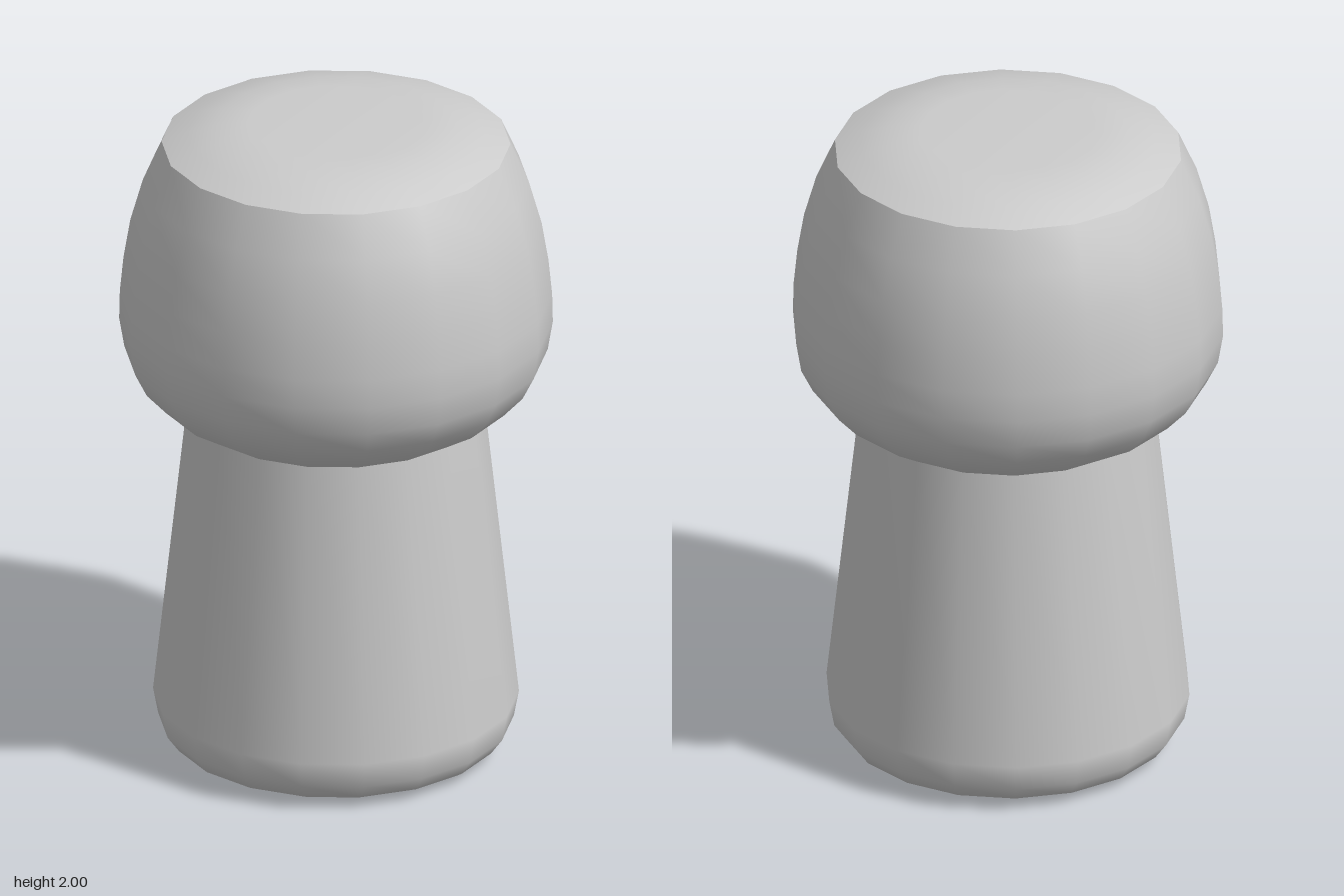
import * as THREE from 'three';

const SIDES = 18;

// Revolves a [radius, height] profile, listed from bottom to top
function turned(name, profile, material) {
  const points = profile.map(([r, y]) => new THREE.Vector2(r, y));
  const mesh = new THREE.Mesh(new THREE.LatheGeometry(points, SIDES, Math.PI / 2), material);
  mesh.name = name;
  return mesh;
}

export function createModel() {
  const model = new THREE.Group();
  model.name = 'stopper';
  const material = new THREE.MeshStandardMaterial({ color: 0xcccccc });

  // Tapered stem with a rounded foot
  model.add(turned('stem', [
    [0, 0], [0.37, 0], [0.44, 0.008], [0.49, 0.032], [0.525, 0.08], [0.54, 0.16], [0.44, 1.08],
  ], material));

  // Bulging side of the cap
  model.add(turned('capSide', [
    [0.44, 1.08], [0.53, 1.135], [0.59, 1.2], [0.625, 1.27], [0.64, 1.36],
    [0.638, 1.45], [0.627, 1.56], [0.607, 1.68], [0.57, 1.81], [0.515, 1.935],
  ], material));

  // Shallow domed top, separated from the side by a sharp edge
  model.add(turned('capTop', [
    [0.515, 1.935], [0.44, 1.965], [0.36, 1.987], [0.26, 2], [0, 2],
  ], material));

  return model;
}
